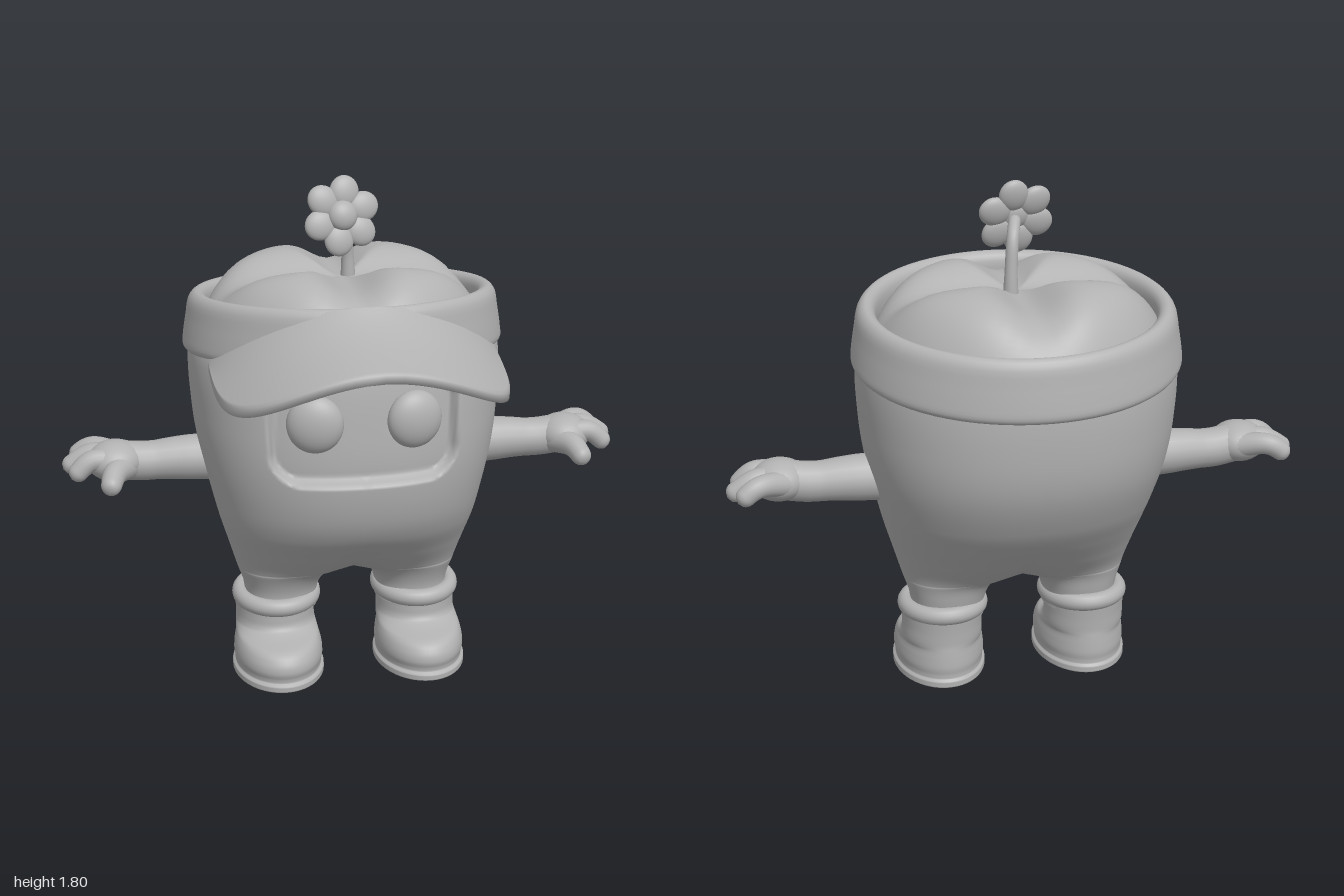
import * as THREE from 'three';
import { mergeGeometries, mergeVertices } from 'three/addons/utils/BufferGeometryUtils.js';

const V = (x, y, z) => new THREE.Vector3(x, y, z);
const clay = new THREE.MeshStandardMaterial({ name: 'clay grey', color: 0xb2b2b2 });

// Joins seams and smooths the normals
function weld(g) {
  g.deleteAttribute('uv');
  g.deleteAttribute('normal');
  g = mergeVertices(g, 1e-5);
  g.computeVertexNormals();
  return g;
}

// Surface from a rule f(u, v), front side towards du x dv
function grid(nu, nv, f) {
  const pos = [], idx = [], w = nu + 1;
  for (let j = 0; j <= nv; j++)
    for (let i = 0; i <= nu; i++) pos.push(...f(i / nu, j / nv));
  for (let j = 0; j < nv; j++)
    for (let i = 0; i < nu; i++) {
      const a = j * w + i;
      idx.push(a, a + 1, a + w + 1, a, a + w + 1, a + w);
    }
  const g = new THREE.BufferGeometry();
  g.setAttribute('position', new THREE.Float32BufferAttribute(pos, 3));
  g.setIndex(idx);
  return weld(g);
}

function mirrored(g) {
  const m = g.clone().scale(-1, 1, 1), a = m.index.array;
  for (let i = 0; i < a.length; i += 3) [a[i], a[i + 1]] = [a[i + 1], a[i]];
  return m;
}

// Smooth interpolation of rows [y, a, b, ...]
function profile(rows, y) {
  let k = 0;
  while (k < rows.length - 2 && y > rows[k + 1][0]) k++;
  const p = rows[k], q = rows[k + 1], h = q[0] - p[0], t = (y - p[0]) / h;
  const o = rows[k - 1] || p, r = rows[k + 2] || q;
  return p.slice(1).map((a, n) => {
    const b = q[n + 1];
    const m0 = (b - o[n + 1]) / (q[0] - o[0]) * h, m1 = (r[n + 1] - a) / (r[0] - p[0]) * h;
    return a + m0 * t + (3 * (b - a) - 2 * m0 - m1) * t * t + (m0 + m1 - 2 * (b - a)) * t ** 3;
  });
}

const spow = (v, e) => Math.sign(v) * Math.abs(v) ** e;

// Tapered tube with a rounded tip
function limb(points, radii) {
  const curve = new THREE.CatmullRomCurve3(points), n = 32, sides = 16;
  const g = new THREE.TubeGeometry(curve, n, 1, sides), p = g.attributes.position;
  const cap = radii.at(-1) / curve.getLength(), v = V(0, 0, 0);
  for (let i = 0; i <= n; i++) {
    const t = i / n, c = curve.getPointAt(t), s = t * (radii.length - 1);
    const k = Math.min(Math.floor(s), radii.length - 2);
    let r = THREE.MathUtils.lerp(radii[k], radii[k + 1], s - k);
    if (t > 1 - cap) r *= Math.sqrt(Math.max(0, 1 - ((t - 1 + cap) / cap) ** 2));
    for (let j = 0; j <= sides; j++) {
      const q = i * (sides + 1) + j;
      v.fromBufferAttribute(p, q).sub(c).multiplyScalar(r).add(c);
      p.setXYZ(q, v.x, v.y, v.z);
    }
  }
  return weld(g);
}

function ball(x, y, z, rx, ry, rz, turn = 0) {
  return new THREE.SphereGeometry(1, 32, 20).scale(rx, ry, rz).rotateY(turn).translate(x, y, z);
}

// Tooth body: height, half width, front z, back z
const BODY = [
  [.24, .37, .045, -.21], [.32, .375, .05, -.225], [.4, .40, .09, -.25], [.5, .43, .19, -.345],
  [.6, .46, .285, -.44], [.7, .485, .335, -.515], [.85, .52, .363, -.585], [1, .54, .362, -.61],
  [1.2, .545, .34, -.605], [1.32, .51, .3, -.57],
];

// Rounded box sunk into the front for the face
function faceDent(x, y) {
  const dx = Math.abs(x) - .215, dy = Math.abs(y - 1.03) - .085;
  const d = Math.hypot(Math.max(dx, 0), Math.max(dy, 0)) + Math.min(Math.max(dx, dy), 0) - .1;
  return .048 * (1 - THREE.MathUtils.smoothstep(d, -.014, .012));
}

function bodyGeometry() {
  const crotch = .4, e = .88;
  const point = (u, y) => {
    const [out, zf, zb] = profile(BODY, y);
    const k = Math.min(1, Math.max(0, (y - crotch) / .24));
    const inner = y <= crotch
      ? .11 * Math.sqrt(Math.max(0, 1 - (Math.max(0, y - .28) / .12) ** 2))
      : -out * (1 - (1 - k) ** 2);
    const cx = (out + inner) / 2, rx = (out - inner) / 2;
    const end = Math.acos(-Math.min(1, (cx / rx) ** (1 / e)));
    const a = (u * 2 - 1) * (y <= crotch ? Math.PI : end);
    const x = Math.max(0, cx + rx * spow(Math.cos(a), e));
    let z = (zf + zb) / 2 - (zf - zb) / 2 * spow(Math.sin(a), e);
    if (z > 0) z -= faceDent(x, y);
    return [x, y, z];
  };
  const leg = grid(120, 16, (u, v) => point(u, .24 + .16 * Math.sin(v * Math.PI / 2)));
  const trunk = grid(120, 96, (u, v) => point(u, crotch + .92 * v ** 1.15));
  return weld(mergeGeometries([leg, trunk, mirrored(leg), mirrored(trunk)]));
}

// Chewing surface with four cusps
function crownGeometry() {
  return grid(64, 32, (u, v) => {
    const r = 1 - v, a = u * Math.PI * 2;
    const x = .49 * r * Math.cos(a), z = -.45 * r * Math.sin(a);
    const groove = Math.max(Math.exp(-((x / .1) ** 2)), Math.exp(-(((z - .02) / .1) ** 2)));
    const soft = 1 - r ** 6;
    return [x, 1.31 + .2 * soft - .075 * groove * soft, z - .155];
  });
}

// Headband of the sun visor, tilted up to the front
function bandGeometry() {
  const pts = [[.52, 1.2], [.55, 1.198], [.563, 1.215], [.561, 1.25], [.55, 1.32], [.538, 1.38], [.515, 1.402],
    [.49, 1.395], [.476, 1.37], [.475, 1.3], [.48, 1.22]];
  const loop = new THREE.CatmullRomCurve3(pts.map(([r, y]) => V(r, y, 0)), true);
  return grid(72, 32, (u, v) => {
    const p = loop.getPoint(v), a = u * Math.PI * 2;
    const z = -p.x * .91 * Math.sin(a);
    return [p.x * Math.cos(a), p.y + .1 * z, z - .15];
  });
}

// Arched brim, upper and lower side in one loop
function brimGeometry() {
  return grid(64, 34, (u, v) => {
    const s = 1 - 2 * u, top = v <= .5;
    const w = Math.min(1, (top ? v : 1 - v) * 34 / 16);
    const a = s * 1.32, b = s * Math.PI / 2;
    const x = THREE.MathUtils.lerp(.52 * Math.sin(a), .5 * spow(Math.sin(b), .7), w);
    const z = THREE.MathUtils.lerp(-.15 + .48 * Math.cos(a), .08 + .575 * Math.cos(b) ** .65, w);
    const fillet = .05 * (1 - w) ** 4;
    const y = 1.4 - .24 * (z - .35) - .98 * x * x + fillet;
    return [x, top ? y : y - .03, z];
  });
}

// Boot: height, half width, front z, back z
const BOOT = [
  [0, .001, -.01, -.012], [.002, .15, .195, -.235], [.012, .165, .217, -.252], [.032, .165, .218, -.252],
  [.042, .155, .203, -.242], [.08, .16, .212, -.245], [.115, .157, .203, -.243], [.145, .15, .17, -.24],
  [.162, .147, .1, -.238], [.18, .144, .062, -.238], [.22, .143, .053, -.24], [.275, .147, .055, -.245],
];

function bootGeometry() {
  return grid(48, 66, (u, v) => {
    const s = v * (BOOT.length - 1), k = Math.min(Math.floor(s), BOOT.length - 2);
    const y = THREE.MathUtils.lerp(BOOT[k][0], BOOT[k + 1][0], s - k), a = u * Math.PI * 2;
    const row = BOOT[k].map((c, n) => THREE.MathUtils.lerp(c, BOOT[k + 1][n], s - k));
    const [rx, zf, zb] = y > .05 ? profile(BOOT, y) : row.slice(1);
    return [.262 + rx * Math.cos(a), y, (zf + zb) / 2 - (zf - zb) / 2 * Math.sin(a)];
  });
}

export function createModel() {
  const model = new THREE.Group();
  const add = (name, g, parent = model) => {
    const m = new THREE.Mesh(g, clay);
    m.name = name;
    parent.add(m);
    return m;
  };
  const pair = (name, g) => {
    add('left' + name, g);
    add('right' + name, mirrored(g));
  };

  add('toothBody', bodyGeometry());
  add('crown', crownGeometry());
  add('visorBand', bandGeometry());
  add('visorBrim', brimGeometry());
  pair('Eye', ball(.17, 1.05, .3, .097, .101, .054, .2));

  // Arms and hands
  pair('Arm', limb([V(.45, .8, -.13), V(.6, .802, -.13), V(.72, .8, -.127), V(.82, .812, -.12), V(.9, .81, -.125)],
    [.085, .08, .07, .07, .05]));
  pair('Palm', ball(.82, .813, -.115, .1, .072, .098));
  const fingers = [[.97, .785, -.232], [1, .775, -.15], [.975, .77, -.062]];
  for (const [x, y, z] of fingers)
    pair('Finger', limb([V(.8, .815, -.12 + (z + .145) * .5), V(.9, .83, z * .85 - .02), V(x, y, z)], [.045, .038, .033]));
  pair('Thumb', limb([V(.78, .8, -.09), V(.825, .8, -.01), V(.85, .765, .078)], [.05, .042, .033]));

  // Boots with rolled cuffs
  pair('Boot', bootGeometry());
  pair('BootCuff', new THREE.TorusGeometry(1, .22, 16, 48).rotateX(Math.PI / 2).scale(.132, .145, .143)
    .rotateX(.05).translate(.257, .277, -.085));

  // Flower growing from the crown
  add('stem', limb([V(.025, 1.4, -.165), V(.022, 1.52, -.16), V(.012, 1.62, -.14), V(-.01, 1.675, -.075)],
    [.028, .022, .021, .021]));
  const flower = new THREE.Group();
  flower.name = 'flower';
  flower.position.set(-.015, 1.67, -.065);
  flower.rotation.set(-.27, .15, 0);
  for (let i = 0; i < 6; i++) {
    const a = (i + .35) * Math.PI / 3;
    add('petal', ball(.082, 0, 0, .057, .052, .026).rotateZ(a), flower);
  }
  add('flowerHeart', ball(0, 0, .012, .052, .052, .034), flower);
  model.add(flower);
  return model;
}
